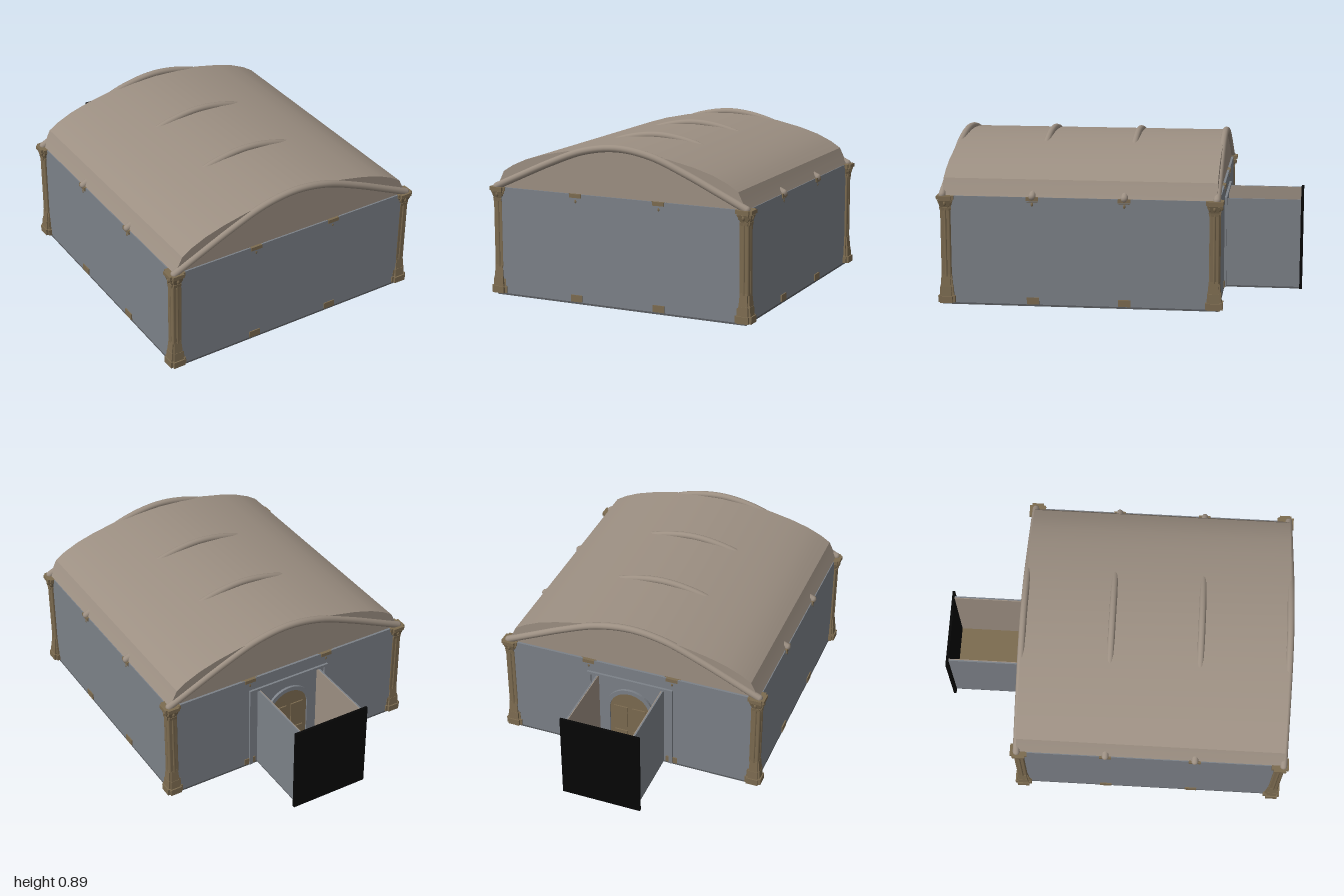
import * as THREE from 'three';
import { mergeGeometries, toCreasedNormals } from 'three/addons/utils/BufferGeometryUtils.js';

const mat = (name, color) => Object.assign(new THREE.MeshStandardMaterial({ color }), { name });

export function createModel() {
  const model = new THREE.Group();
  model.name = 'vaultedHall';
  const wallGrey = mat('wall grey', 0x7c8188);
  const roofTaupe = mat('roof taupe', 0x9c8f82);
  const stoneBrown = mat('stone brown', 0x7c6b50);
  const baseGrey = mat('base grey', 0x5a5d61);
  const black = mat('black', 0x060606);

  const add = (name, geo, material, x = 0, y = 0, z = 0, parent = model) => {
    const m = new THREE.Mesh(geo, material);
    m.name = name;
    m.position.set(x, y, z);
    parent.add(m);
    return m;
  };
  // Box given by its two opposite corners
  const box = (name, material, x0, x1, y0, y1, z0, z1) =>
    add(name, new THREE.BoxGeometry(x1 - x0, y1 - y0, z1 - z0), material,
      (x0 + x1) / 2, (y0 + y1) / 2, (z0 + z1) / 2);

  // Hall: base slab, floor and four walls
  const X = 0.755, ZF = 0.972, ZB = -0.555, T = 0.02, H = 0.61;
  box('hallBase', baseGrey, -X, X, 0, 0.01, ZB, ZF);
  box('hallFloor', stoneBrown, -X + T, X - T, 0.01, 0.014, ZB + T, ZF - T);
  box('frontWall', wallGrey, -X, X, 0.01, H, ZF - T, ZF);
  box('backWall', wallGrey, -X, X, 0.01, H, ZB, ZB + T);
  for (const s of [-1, 1]) {
    const a = s * X, b = s * (X - T);
    box('sideWall', wallGrey, Math.min(a, b), Math.max(a, b), 0.01, H, ZB + T, ZF - T);
  }

  // Barrel roof with its end walls
  const half = [[0.75, 0.61], [0.725, 0.655], [0.703, 0.7], [0.645, 0.737], [0.56, 0.775],
    [0.45, 0.808], [0.3, 0.84], [0.15, 0.861]];
  const profile = [...half, [0, 0.868], ...half.map(([x, y]) => [-x, y]).reverse()];
  const roofShape = new THREE.Shape(profile.map(([x, y]) => new THREE.Vector2(x, y)));
  const roofGeo = new THREE.ExtrudeGeometry(roofShape, { depth: 1.505, bevelEnabled: false });
  add('vaultRoof', toCreasedNormals(roofGeo, 0.5), roofTaupe, 0, 0, -0.542);

  // Arched ribs, rounded at their feet
  const ribHalf = [[0.752, 0.612], [0.6, 0.682], [0.4, 0.772], [0.2, 0.847]];
  const ribPath = new THREE.CatmullRomCurve3(
    [...ribHalf, [0, 0.875], ...ribHalf.map(([x, y]) => [-x, y]).reverse()]
      .map(([x, y]) => new THREE.Vector3(x, y, 0)));
  const ribGeo = new THREE.TubeGeometry(ribPath, 48, 0.02, 12);
  const footGeo = new THREE.SphereGeometry(0.02, 12, 8);
  for (const z of [0.963, 0.465, -0.04, -0.541]) {
    add('roofRib', ribGeo, roofTaupe, 0, 0, z);
    for (const s of [-1, 1]) add('ribFoot', footGeo, roofTaupe, s * 0.752, 0.612, z);
  }

  // Column tiers: two crossed rectangular frusta, arms narrower than their length
  const frustum = (w0, w1, y0, y1, sx, sz) => {
    const g = new THREE.CylinderGeometry(w1 / Math.SQRT2, w0 / Math.SQRT2, y1 - y0, 4).toNonIndexed();
    g.rotateY(Math.PI / 4).scale(sx, 1, sz).translate(0, (y0 + y1) / 2, 0);
    g.computeVertexNormals();
    return g;
  };
  const parts = [];
  const tiers = [ // lower width, upper width, bottom, top
    [0.095, 0.095, 0.012, 0.05], [0.08, 0.074, 0.05, 0.1], [0.07, 0.058, 0.1, 0.17],
    [0.056, 0.056, 0.17, 0.53], [0.062, 0.066, 0.53, 0.548], [0.06, 0.084, 0.548, 0.585],
    [0.095, 0.095, 0.59, 0.611], [0.078, 0.078, 0.585, 0.59]];
  for (const [w0, w1, y0, y1] of tiers)
    parts.push(frustum(w0, w1, y0, y1, 1, 0.72), frustum(w0, w1, y0, y1, 0.72, 1));
  // Slim shafts and curling leaves around the core
  for (let i = 0; i < 8; i++) {
    const a = i * Math.PI / 4, r = i % 2 ? 0.029 : 0.025;
    const shaft = new THREE.CylinderGeometry(0.008, 0.008, 0.38, 8).toNonIndexed();
    parts.push(shaft.translate(Math.cos(a) * r, 0.35, Math.sin(a) * r));
    const leaf = new THREE.SphereGeometry(0.009, 8, 6).toNonIndexed();
    parts.push(leaf.scale(1, 1.6, 1).translate(Math.cos(a) * 0.036, 0.57, Math.sin(a) * 0.036));
  }
  const columnGeo = mergeGeometries(parts);
  for (const s of [-1, 1]) {
    for (const z of [0.945, -0.53]) add('cornerColumn', columnGeo, stoneBrown, s * 0.74, 0, z);
    for (const z of [0.465, -0.04]) add('sidePilaster', columnGeo, stoneBrown, s * 0.714, 0, z);
    for (const z of [0.93, -0.513]) add('endPilaster', columnGeo, stoneBrown, s * 0.25, 0, z);
  }

  // Entrance passage, open at the top, closed by a black panel
  box('passageBase', baseGrey, -0.2, 0.2, 0, 0.01, -0.985, ZB);
  box('passageFloor', stoneBrown, -0.19, 0.19, 0.01, 0.014, -0.985, ZB);
  for (const s of [-1, 1]) {
    const outer = box('passageWall', wallGrey, 0.194, 0.202, 0.01, 0.52, -0.985, ZB);
    const lining = box('passageLining', roofTaupe, 0.189, 0.194, 0.01, 0.519, -0.985, ZB);
    outer.position.x *= s;
    lining.position.x *= s;
    const jamb = box('frameJamb', wallGrey, 0.235, 0.257, 0.01, 0.53, -0.568, ZB);
    jamb.position.x *= s;
  }
  box('frameLintel', wallGrey, -0.257, 0.257, 0.52, 0.535, -0.568, ZB);
  box('endPanel', black, -0.232, 0.232, 0.005, 0.523, -1, -0.985);

  // Arched door at the inner end of the passage
  const arch = (r, spring) => {
    const s = new THREE.Shape();
    s.moveTo(-r, 0.014);
    s.lineTo(r, 0.014);
    s.lineTo(r, spring);
    s.absarc(0, spring, r, 0, Math.PI, false);
    s.closePath();
    return s;
  };
  const surround = arch(0.145, 0.32);
  surround.holes.push(arch(0.12, 0.32));
  add('doorSurround', new THREE.ExtrudeGeometry(surround, { depth: 0.015, bevelEnabled: false }),
    wallGrey, 0, 0, -0.57);
  add('archedDoor', new THREE.ExtrudeGeometry(arch(0.12, 0.32), { depth: 0.006, bevelEnabled: false }),
    stoneBrown, 0, 0, -0.561);
  for (const s of [-1, 1])
    for (const y of [0.1, 0.27])
      add('doorPanel', new THREE.BoxGeometry(0.08, 0.14, 0.008), stoneBrown, s * 0.055, y, -0.564);

  return model;
}
